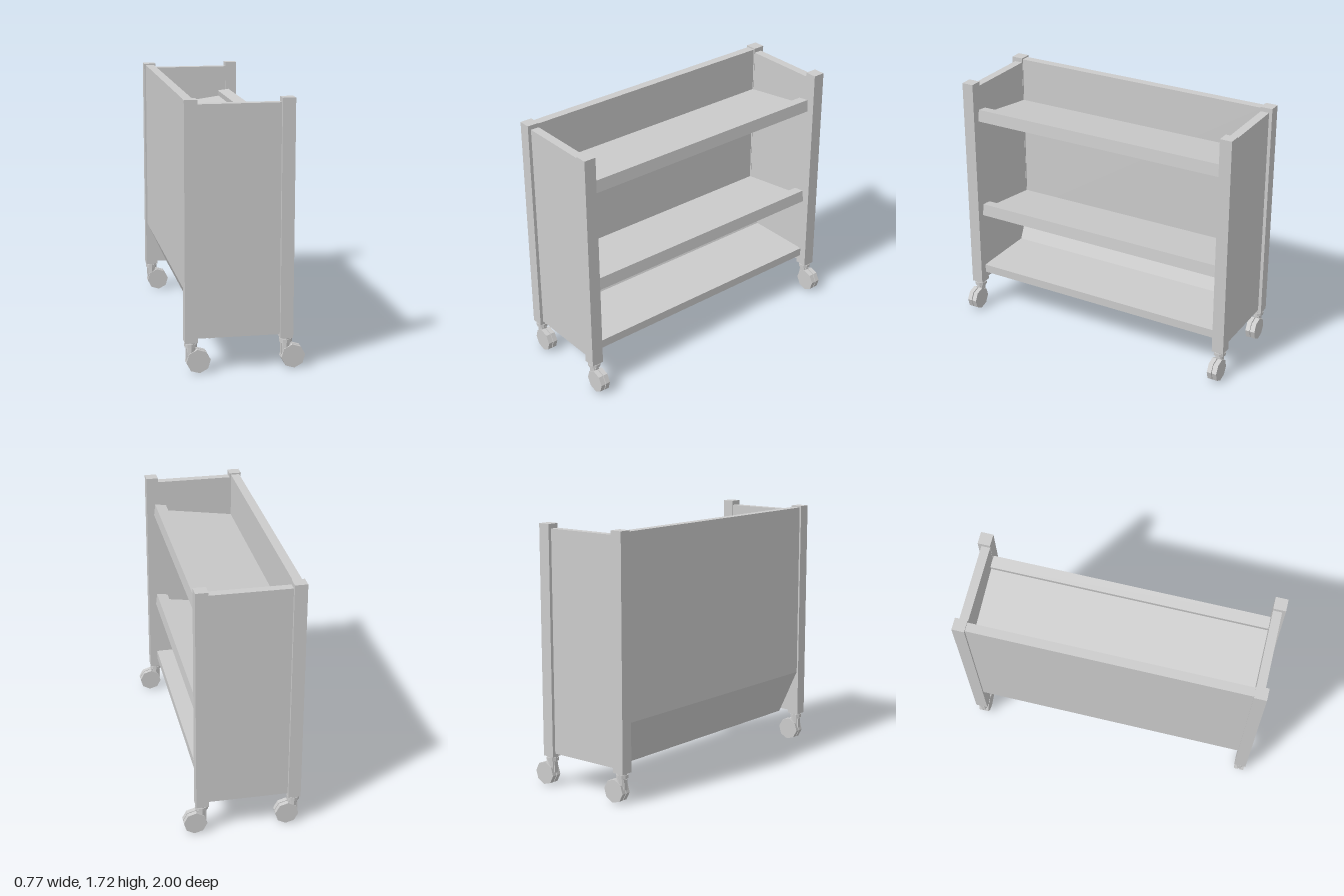
import * as THREE from 'three';

const material = new THREE.MeshStandardMaterial({ color: 0xcccccc, flatShading: true });

function add(parent, name, geometry, x = 0, y = 0, z = 0) {
  const mesh = new THREE.Mesh(geometry, material);
  mesh.name = name;
  mesh.position.set(x, y, z);
  parent.add(mesh);
  return mesh;
}

// Box given by its limits on each axis
function block(parent, name, [x0, x1], [y0, y1], [z0, z1]) {
  return add(parent, name, new THREE.BoxGeometry(x1 - x0, y1 - y0, z1 - z0),
    (x0 + x1) / 2, (y0 + y1) / 2, (z0 + z1) / 2);
}

// Board with an x-y section, running along z between the end panels
function board(parent, name, points, y = 0, length = 1.84) {
  const shape = new THREE.Shape(points.map(([px, py]) => new THREE.Vector2(px, py)));
  const geometry = new THREE.ExtrudeGeometry(shape, { depth: length, bevelEnabled: false });
  geometry.translate(0, 0, -length / 2);
  return add(parent, name, geometry, 0, y, 0);
}

// Swivel caster, origin on the floor below the post centre
function createCaster() {
  const caster = new THREE.Group();
  caster.name = 'caster';
  add(caster, 'mountingPlate', new THREE.CylinderGeometry(0.036, 0.036, 0.01, 10), 0, 0.195, 0);
  add(caster, 'collar', new THREE.CylinderGeometry(0.041, 0.041, 0.022, 10), 0, 0.18, 0);
  add(caster, 'stem', new THREE.CylinderGeometry(0.03, 0.03, 0.06, 8), 0, 0.14, 0);

  // Curved housing between the stem and the wheel
  board(caster, 'housing',
    [[-0.03, 0.16], [-0.03, 0.09], [0.02, 0.06], [0.06, 0.08], [0.03, 0.13], [0.03, 0.16]], 0, 0.03);

  // Twin wheel discs with a narrow hub between them
  for (const side of [-1, 1]) {
    const wheel = add(caster, 'wheel', new THREE.CylinderGeometry(0.077, 0.077, 0.031, 8), 0.045, 0.077, side * 0.0185);
    wheel.rotation.set(Math.PI / 2, 0.1, 0);
  }
  const hub = add(caster, 'hub', new THREE.CylinderGeometry(0.066, 0.066, 0.01, 8), 0.045, 0.077, 0);
  hub.rotation.set(Math.PI / 2, 0.1, 0);
  return caster;
}

export function createModel() {
  const cart = new THREE.Group();
  cart.name = 'shelfCart';

  // Corner posts, casters and end panels
  for (const side of [-1, 1]) {
    for (const x of [-0.341, 0.264]) {
      add(cart, 'post', new THREE.BoxGeometry(0.082, 1.52, 0.082), x, 0.96, side * 0.959);
      const caster = createCaster();
      caster.position.set(x, 0, side * 0.959);
      cart.add(caster);
    }
    const z = side > 0 ? [0.92, 0.978] : [-0.978, -0.92];
    block(cart, 'endPanel', [-0.302, 0.225], [0.222, 1.69], z);
  }

  // Back panel, folding inward at the bottom
  board(cart, 'backPanel', [
    [-0.37, 1.71], [-0.37, 0.515], [-0.221, 0.2], [-0.155, 0.205], [-0.31, 0.53], [-0.31, 1.71],
  ]);

  // Two shelves sloping down to the back, each with a raised front lip
  for (const [name, y] of [['topShelf', 0], ['middleShelf', -0.714]]) {
    board(cart, name, [
      [-0.31, 1.36], [0.255, 1.44], [0.246, 1.522], [0.167, 1.511], [0.172, 1.472], [-0.31, 1.404],
    ], y);
  }

  // Level bottom shelf reaching the sloped part of the back
  board(cart, 'bottomShelf', [[-0.188, 0.27], [0.255, 0.27], [0.255, 0.328], [-0.216, 0.328]]);

  return cart;
}
